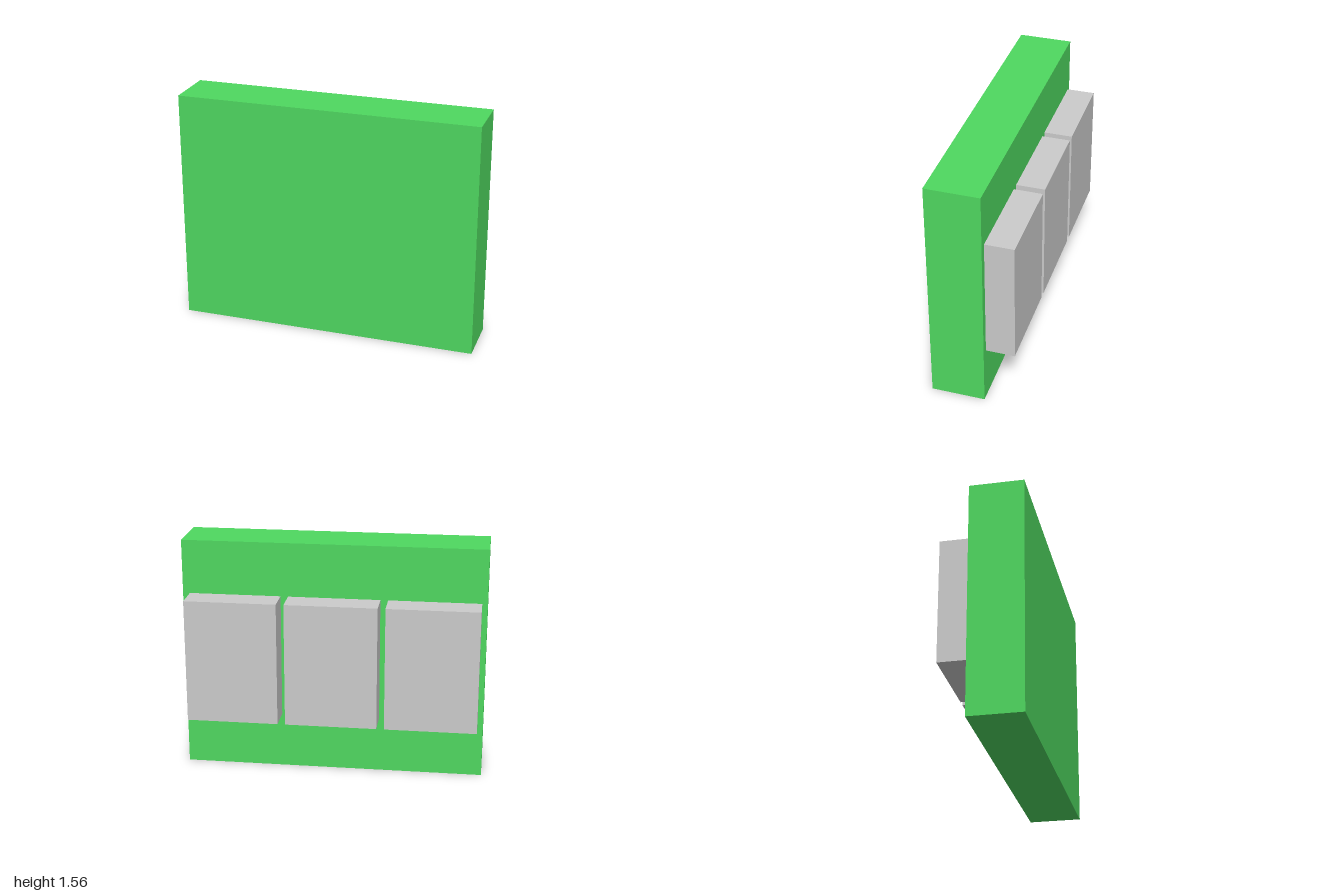
import * as THREE from 'three';

const green = new THREE.MeshStandardMaterial({ color: 0x4fd860 });
const grey = new THREE.MeshStandardMaterial({ color: 0xcccccc });

// Box given by its centre x and its y and z ranges
function block(name, material, x, width, [y0, y1], [z0, z1]) {
  const mesh = new THREE.Mesh(new THREE.BoxGeometry(width, y1 - y0, z1 - z0), material);
  mesh.position.set(x, (y0 + y1) / 2, (z0 + z1) / 2);
  mesh.name = name;
  return mesh;
}

export function createModel() {
  const model = new THREE.Group();
  model.name = 'panelWithBlocks';

  // Thick upright panel
  model.add(block('panel', green, 0, 2, [0, 1.56], [-0.082, 0.271]));

  // Row of three equal blocks on the back of the panel
  const blocks = new THREE.Group();
  blocks.name = 'backBlocks';
  for (let i = -1; i <= 1; i++) {
    blocks.add(block('backBlock', grey, -0.005 + i * 0.656, 0.606, [0.375, 1.201], [-0.271, -0.082]));
  }
  model.add(blocks);

  return model;
}
